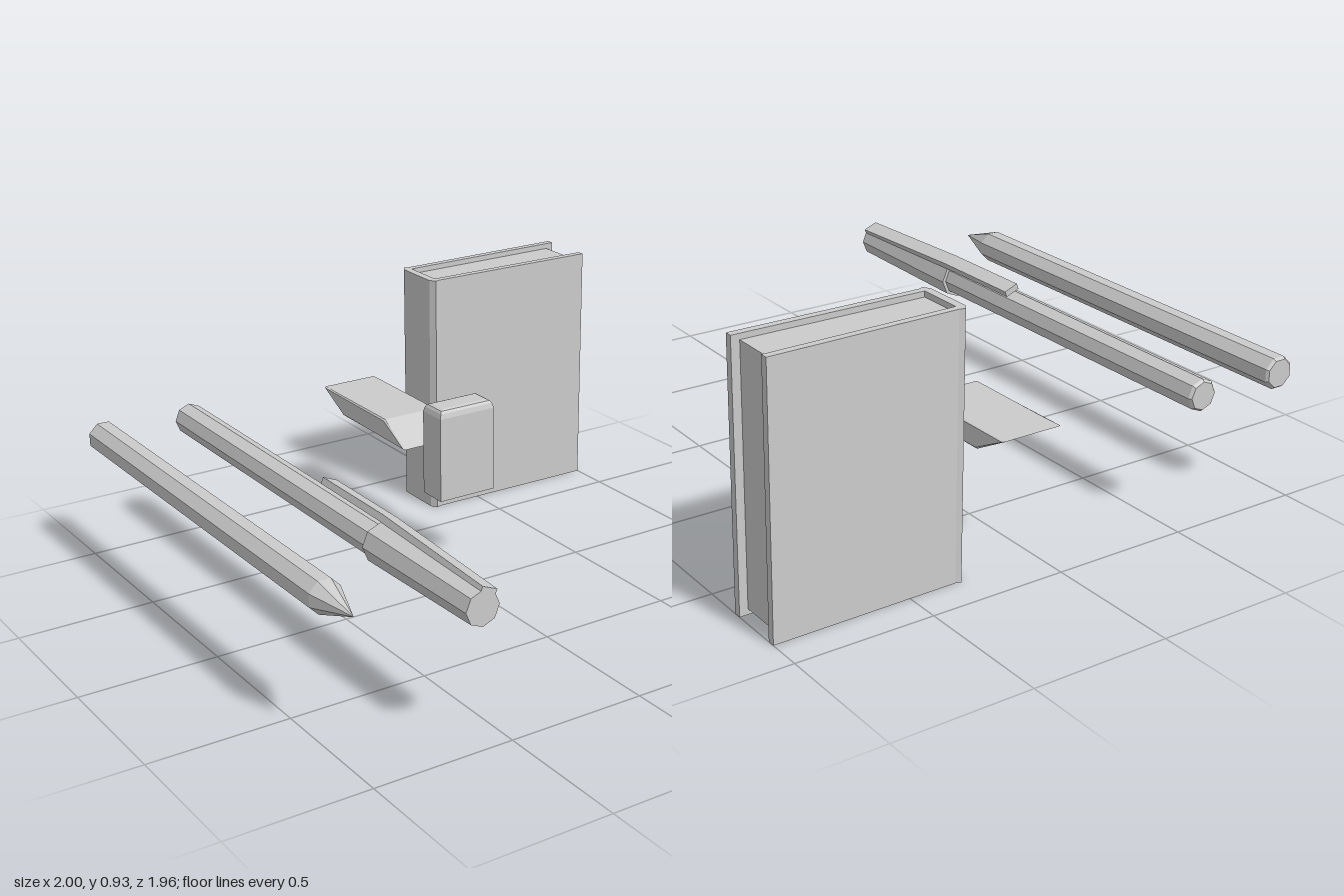
import * as THREE from 'three';

const material = new THREE.MeshStandardMaterial({ color: 0xcccccc, flatShading: true, side: THREE.DoubleSide });

function part(name, geometry) {
  const flat = geometry.index ? geometry.toNonIndexed() : geometry;
  flat.computeVertexNormals();
  const mesh = new THREE.Mesh(flat, material);
  mesh.name = name;
  return mesh;
}

const outline = (pts) => new THREE.Shape(pts.map(([a, b]) => new THREE.Vector2(a, b)));

// Eight-sided rod along z from [radius, z] pairs, back to front
function rod(profile, turn = 0) {
  const pts = profile.map(([r, z]) => new THREE.Vector2(r, z));
  return new THREE.LatheGeometry(pts, 8, turn).rotateX(Math.PI / 2);
}

// Side profile of [z, y] points extruded across x, centred on x = 0
function across(pts, width, bevel = 0) {
  const geometry = new THREE.ExtrudeGeometry(outline(pts), {
    depth: width - 2 * bevel, bevelEnabled: bevel > 0, bevelSize: bevel,
    bevelThickness: bevel, bevelOffset: -bevel, bevelSegments: 1,
  });
  return geometry.translate(0, 0, bevel - width / 2).rotateY(-Math.PI / 2);
}

// Block whose upper rim narrows in steps; rings are [y, inset]
function softTopBlock(width, depth, rings) {
  const geometry = new THREE.BoxGeometry(width, 1, depth, 1, rings.length - 1, 1);
  const pos = geometry.attributes.position;
  for (let i = 0; i < pos.count; i++) {
    const [y, inset] = rings[Math.round((pos.getY(i) + 0.5) * (rings.length - 1))];
    pos.setXYZ(i, pos.getX(i) - Math.sign(pos.getX(i)) * inset, y,
      pos.getZ(i) - Math.sign(pos.getZ(i)) * inset);
  }
  return geometry;
}

export function createModel() {
  const model = new THREE.Group();
  model.name = 'stationerySet';

  // Pencil: flat-topped octagon with a sharpened point
  const pencil = new THREE.Group();
  pencil.name = 'pencil';
  pencil.position.set(-0.942, 0.466, 0);
  pencil.add(
    part('pencilBody', rod([[0, -0.98], [0.052, -0.98], [0.06, -0.97], [0.06, 0.64]], Math.PI / 8)),
    part('pencilTip', rod([[0.06, 0.64], [0, 0.81]], Math.PI / 8)),
  );

  // Pen: ridge-topped octagon, tapered cap and clip
  const pen = new THREE.Group();
  pen.name = 'pen';
  pen.position.set(-0.595, 0.466, 0);
  const clip = part('penClip', across(
    [[0.02, 0.068], [0.4, 0.066], [0.975, 0.05], [0.975, 0.067], [0.4, 0.091], [0.02, 0.091]], 0.057));
  clip.rotation.z = -Math.PI / 8;
  pen.add(
    part('penBody', rod([[0, -0.98], [0.05, -0.98], [0.058, -0.97], [0.058, 0.42]])),
    part('penCap', rod([[0, 0.4], [0.071, 0.4], [0.061, 0.975], [0, 0.975]])),
    clip,
  );

  // Upright block with a softened top
  const block = part('uprightBlock', softTopBlock(0.23, 0.113,
    [[0.29, 0], [0.605, 0], [0.623, 0.005], [0.632, 0.011], [0.636, 0.021]]));
  block.position.set(0.087, 0, -0.172);

  // Slanted eraser
  const eraser = part('slantedEraser', across(
    [[-0.36, 0.41], [-0.5, 0.487], [-0.942, 0.487], [-0.8, 0.41]], 0.23, 0.006));
  eraser.position.x = 0.087;

  // Book: one wrapped cover with hinge grooves, and the page block
  const book = new THREE.Group();
  book.name = 'book';
  book.position.z = -0.763;
  const half = [[0.29, 0.09], [0.305, 0.113], [0.325, 0.107], [1, 0.115], [1, 0.088], [0.32, 0.081]];
  const mirrored = half.map(([x, z]) => [x, -z]).reverse();
  const cover = new THREE.ExtrudeGeometry(outline([...half, ...mirrored]), { depth: 0.93, bevelEnabled: false });
  const pageShape = outline([[0.315, 0.081], [0.97, 0.088], [0.97, -0.088], [0.315, -0.081]]);
  const pages = new THREE.ExtrudeGeometry(pageShape, { depth: 0.89, bevelEnabled: false });
  book.add(
    part('bookCover', cover.rotateX(-Math.PI / 2)),
    part('bookPages', pages.rotateX(-Math.PI / 2).translate(0, 0.02, 0)),
  );

  model.add(pencil, pen, block, eraser, book);
  return model;
}
